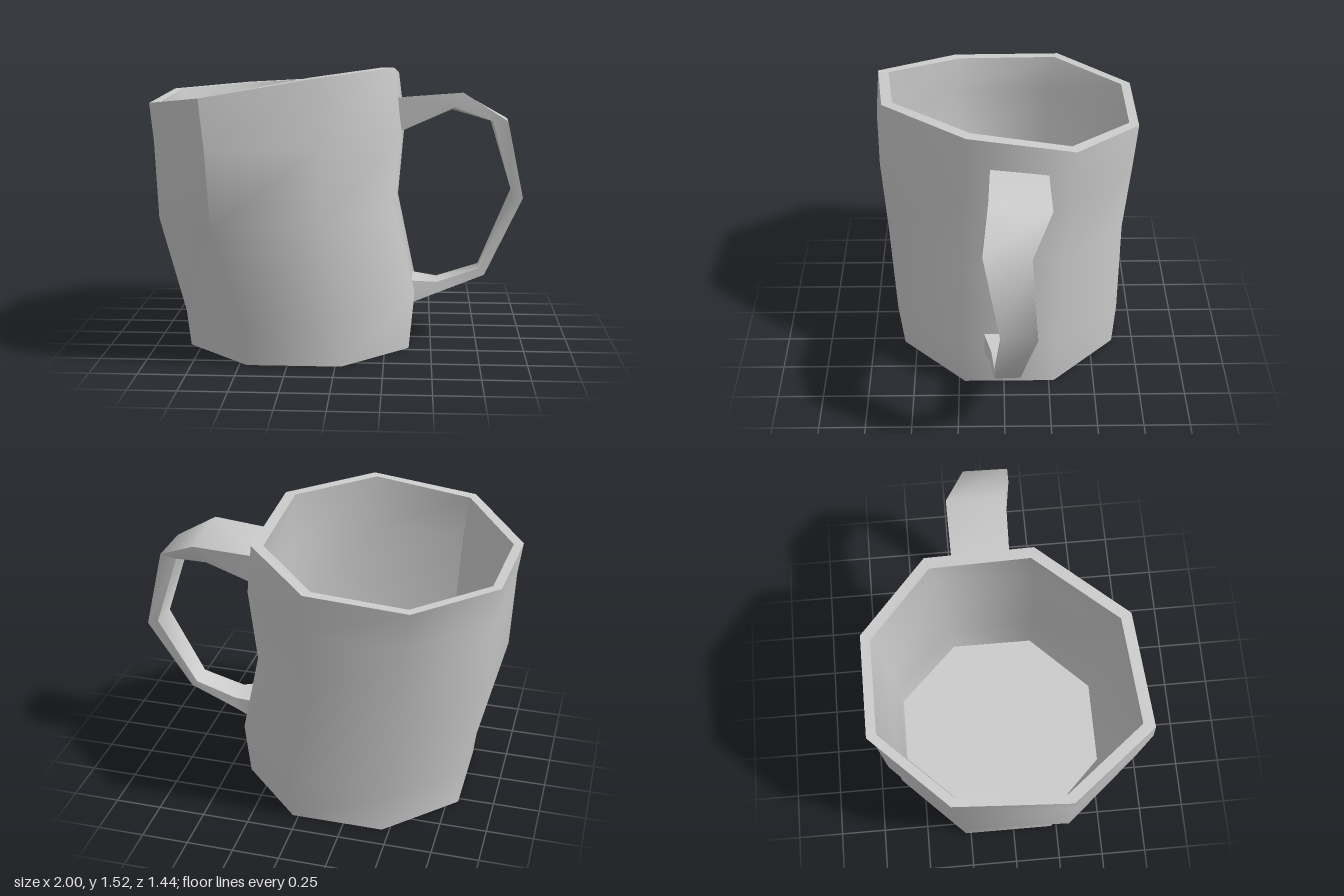
import * as THREE from 'three';
import { toCreasedNormals } from 'three/addons/utils/BufferGeometryUtils.js';

// Skin a list of equal-sized corner loops, closing both ends
function loft(loops) {
  const n = loops[0].length;
  const index = [];
  for (let i = 0; i < loops.length - 1; i++) {
    for (let j = 0; j < n; j++) {
      const k = (j + 1) % n;
      const a = i * n + j, b = i * n + k;
      index.push(a, b, b + n, a, b + n, a + n);
    }
  }
  const last = (loops.length - 1) * n;
  for (let j = 1; j < n - 1; j++) {
    index.push(0, j + 1, j, last, last + j, last + j + 1);
  }
  const geometry = new THREE.BufferGeometry();
  geometry.setAttribute('position', new THREE.Float32BufferAttribute(loops.flat(2), 3));
  geometry.setIndex(index);
  return toCreasedNormals(geometry, 0.9);
}

// Rim corners: x, y, z
const RIM = [
  [0.31, 1.45, -0.37], [-0.06, 1.39, -0.72], [-0.59, 1.36, -0.72], [-0.97, 1.355, -0.33],
  [-1.0, 1.335, 0.27], [-0.67, 1.405, 0.70], [-0.10, 1.50, 0.64], [0.29, 1.52, 0.19],
];
// The same corners scaled to a unit square, and a regular octagon to blend with
const RIM_UNIT = RIM.map(([x, , z]) => [(x + 0.345) / 0.655, (z + 0.01) / 0.71]);
const OCTAGON = RIM.map((_, i) => {
  const a = Math.PI / 8 + i * Math.PI / 4, r = 1 / Math.cos(Math.PI / 8);
  return [r * Math.cos(a), -r * Math.sin(a)];
});

// One ring of the wall: bounds, height at the left and right, blend towards the rim shape
function ring({ x0, x1, z0, z1, y0, y1, blend }, inset = 0) {
  return OCTAGON.map(([ox, oz], i) => {
    const u = THREE.MathUtils.lerp(ox, RIM_UNIT[i][0], blend);
    const v = THREE.MathUtils.lerp(oz, RIM_UNIT[i][1], blend);
    return [
      (x0 + x1) / 2 + u * ((x1 - x0) / 2 - inset),
      THREE.MathUtils.lerp(y0, y1, (u + 1) / 2),
      (z0 + z1) / 2 + v * ((z1 - z0) / 2 - inset),
    ];
  });
}

function createCup() {
  const base = { x0: -0.81, x1: 0.38, z0: -0.63, z1: 0.57, y0: 0, y1: 0, blend: 0 };
  const walls = [
    { x0: -0.83, x1: 0.41, z0: -0.645, z1: 0.605, y0: 0.2, y1: 0.29, blend: 0.12 },
    { x0: -0.96, x1: 0.31, z0: -0.66, z1: 0.675, y0: 0.72, y1: 0.76, blend: 0.65 },
    { x0: -0.975, x1: 0.345, z0: -0.695, z1: 0.72, y0: 1.14, y1: 1.17, blend: 0.95 },
  ];
  const innerRim = RIM.map(([x, y, z], i) => [
    -0.35 + RIM_UNIT[i][0] * 0.6, y, -0.015 + RIM_UNIT[i][1] * 0.655,
  ]);
  const floor = { ...base, y0: 0.05, y1: 0.05 };
  return loft([
    ring(base),
    ...walls.map((w) => ring(w)),
    RIM,
    innerRim,
    ...walls.map((w) => ring(w, 0.05)).reverse(),
    ring(floor, 0.04),
  ]);
}

function createHandle() {
  // Corners per section: outer front, inner front, inner back, outer back
  return loft([
    [[0.30, 1.35, 0.07], [0.33, 1.17, 0.07], [0.33, 1.15, -0.22], [0.30, 1.32, -0.23]],
    [[0.66, 1.38, 0.08], [0.61, 1.30, 0.08], [0.61, 1.255, -0.23], [0.68, 1.34, -0.235]],
    [[0.90, 1.23, 0.11], [0.82, 1.23, 0.11], [0.82, 1.205, -0.13], [0.91, 1.22, -0.13]],
    [[0.995, 0.80, 0.025], [0.94, 0.80, 0.02], [0.94, 0.82, -0.16], [1.0, 0.80, -0.16]],
    [[0.79, 0.375, 0.055], [0.76, 0.41, 0.055], [0.76, 0.41, -0.08], [0.79, 0.38, -0.08]],
    [[0.53, 0.275, 0.08], [0.53, 0.335, 0.07], [0.53, 0.335, -0.08], [0.53, 0.275, -0.09]],
    [[0.39, 0.225, 0.11], [0.39, 0.35, 0.11], [0.39, 0.35, -0.115], [0.39, 0.225, -0.115]],
  ]);
}

export function createModel() {
  const group = new THREE.Group();
  group.name = 'mug';
  const material = new THREE.MeshStandardMaterial({ color: 0xcccccc });
  const parts = { cup: createCup(), handle: createHandle() };
  for (const [name, geometry] of Object.entries(parts)) {
    const mesh = new THREE.Mesh(geometry, material);
    mesh.name = name;
    group.add(mesh);
  }
  return group;
}
